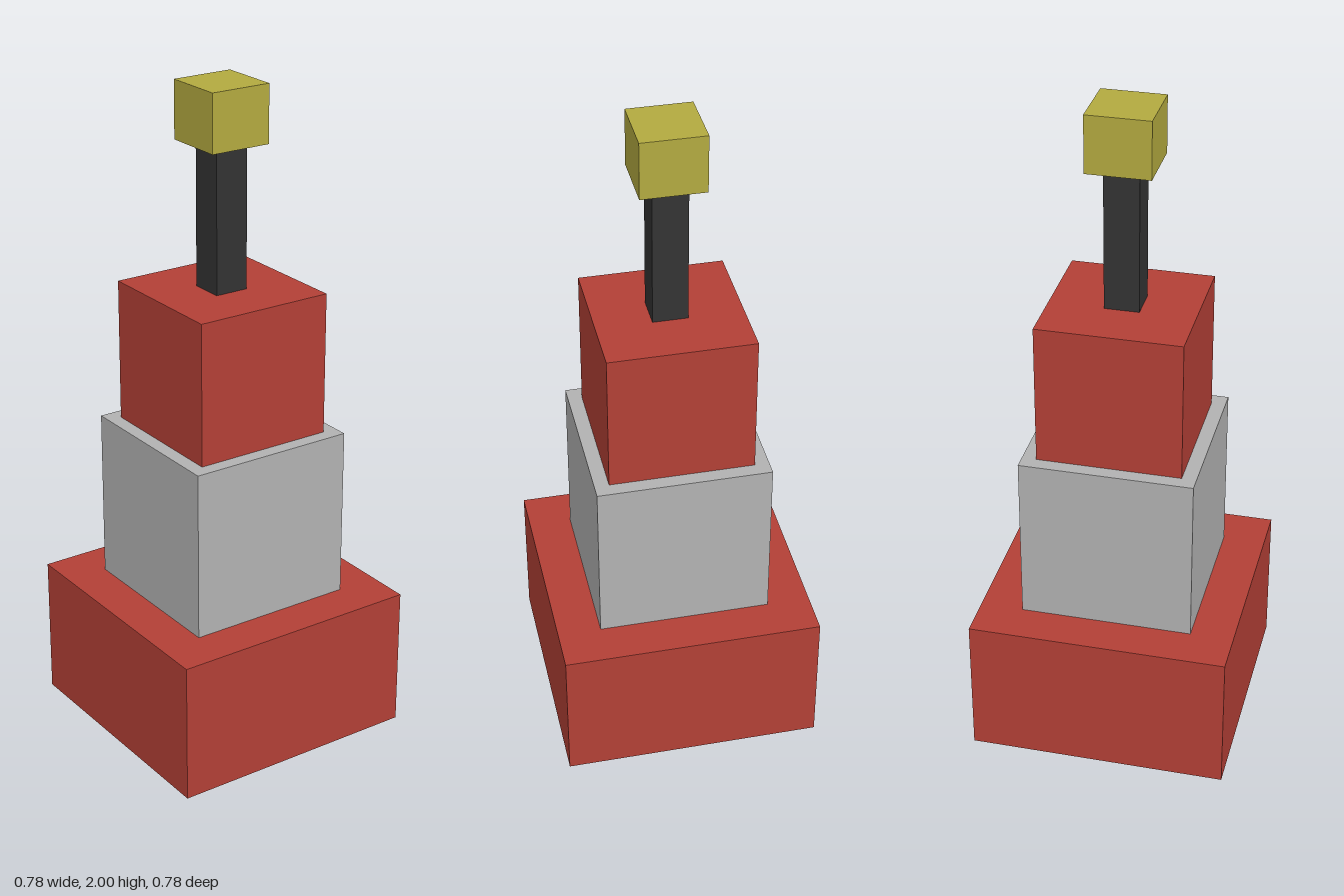
import * as THREE from 'three';

const paint = (name, color) =>
  new THREE.MeshStandardMaterial({ name, color, side: THREE.DoubleSide });

// Square block standing on y = 0 with an open underside
function openBlock(width, height) {
  const geometry = new THREE.BoxGeometry(width, height, width);
  const index = Array.from(geometry.index.array);
  index.splice(18, 6); // drop the bottom face
  geometry.setIndex(index);
  geometry.clearGroups();
  geometry.translate(0, height / 2, 0);
  return geometry;
}

export function createModel() {
  const red = paint('red', 0xb34036);
  const grey = paint('light grey', 0xb2b2b2);
  const black = paint('charcoal', 0x333333);
  const yellow = paint('yellow', 0xb3aa40);

  // Tiers from the ground up, in units of 1/23
  const unit = 1 / 23;
  const tiers = [
    ['base', 18, 10, red],
    ['middleTier', 12, 12, grey],
    ['upperTier', 10, 10, red],
    ['mast', 2.4, 10, black],
    ['beacon', 4.4, 4, yellow],
  ];

  const tower = new THREE.Group();
  tower.name = 'tower';
  let y = 0;
  for (const [name, width, height, material] of tiers) {
    const mesh = new THREE.Mesh(openBlock(width * unit, height * unit), material);
    mesh.name = name;
    mesh.position.y = y;
    tower.add(mesh);
    y += height * unit;
  }
  return tower;
}
